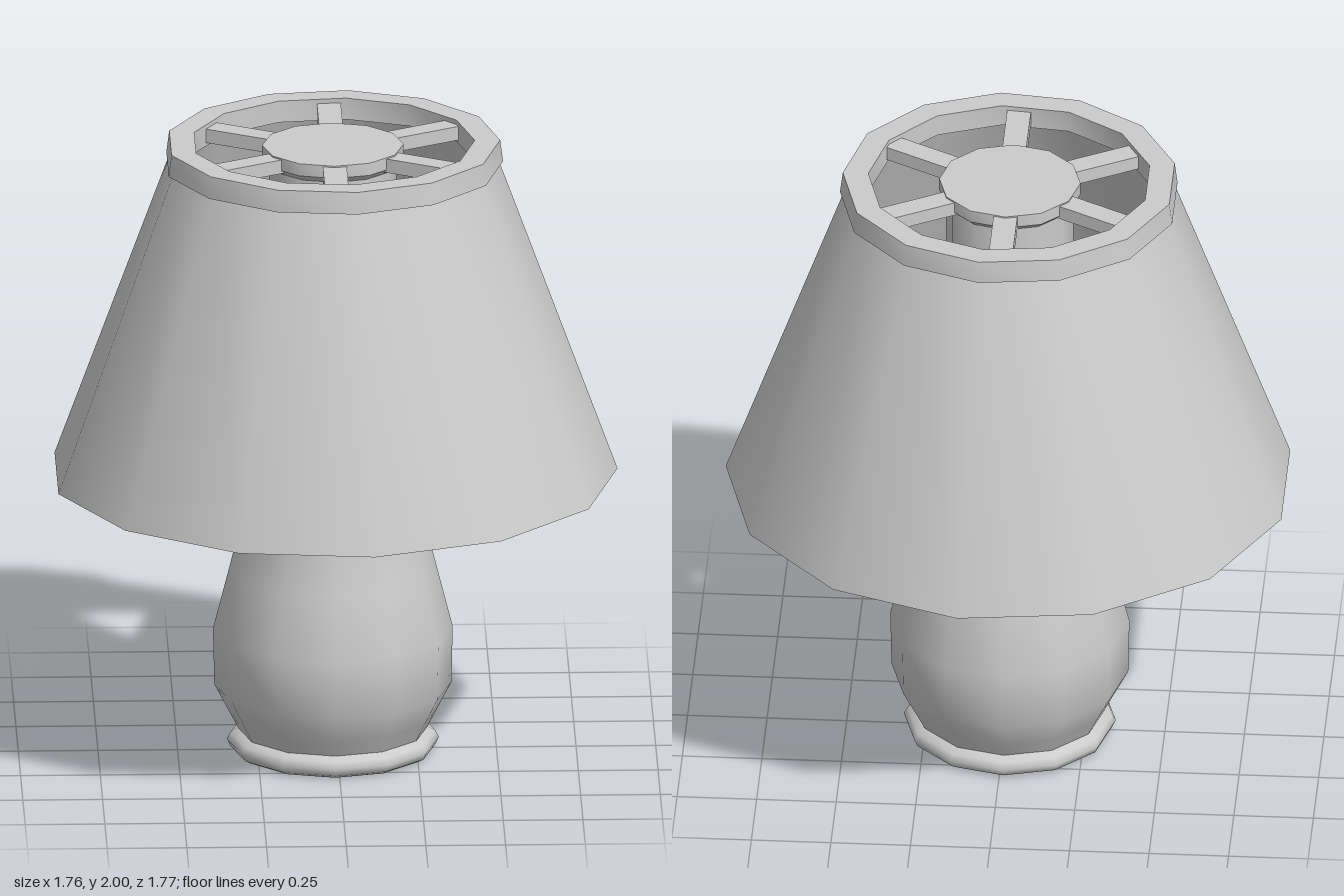
import * as THREE from 'three';
import { toCreasedNormals } from 'three/addons/utils/BufferGeometryUtils.js';

const material = new THREE.MeshStandardMaterial({ color: 0xcccccc });

// Turned part from [radius, height] pairs, with one corner pointing to +x
function turned(name, profile, sides, crease) {
  const points = profile.map(([r, y]) => new THREE.Vector2(r, y));
  const lathe = new THREE.LatheGeometry(points, sides, Math.PI / 2);
  const mesh = new THREE.Mesh(toCreasedNormals(lathe, crease), material);
  mesh.name = name;
  return mesh;
}

export function createModel() {
  const lamp = new THREE.Group();
  lamp.name = 'tableLamp';

  // Vase-shaped body with a rolled foot and a flared, closed top
  lamp.add(turned('body', [
    [0, 0], [0.3, 0], [0.322, 0.012], [0.333, 0.035], [0.322, 0.056], [0.297, 0.07],
    [0.325, 0.125], [0.372, 0.215], [0.376, 0.4], [0.325, 0.6], [0.264, 0.85],
    [0.253, 0.97], [0.266, 1.16], [0.26, 1.21], [0.225, 1.24], [0, 1.24],
  ], 12, 1.05));

  // Post between the body and the top of the shade
  lamp.add(turned('post', [[0.2, 1.22], [0.2, 1.93], [0.222, 1.95], [0.222, 1.99], [0, 1.99]], 12, 0.7));

  // Hollow conical shade
  lamp.add(turned('shade', [
    [0.83, 0.915], [0.893, 0.915], [0.52, 1.935], [0.455, 1.935], [0.83, 0.915],
  ], 13, 0.7));

  // Ring closing the top edge of the shade
  lamp.add(turned('topRing', [
    [0.445, 1.93], [0.534, 1.93], [0.525, 2], [0.445, 2], [0.445, 1.93],
  ], 13, 0.7));

  // Six spokes joining post and ring
  const spokes = new THREE.Group();
  spokes.name = 'spokes';
  const bar = new THREE.BoxGeometry(0.25, 0.045, 0.075).translate(0.32, 1.963, 0);
  for (let i = 0; i < 6; i++) {
    const spoke = new THREE.Mesh(bar, material);
    spoke.name = 'spoke';
    spoke.rotation.y = Math.PI / 6 + (i * Math.PI) / 3;
    spokes.add(spoke);
  }
  lamp.add(spokes);

  // The odd-sided shade is centred by its bounds
  lamp.children.forEach((part) => { part.position.x = -0.013; });
  return lamp;
}
